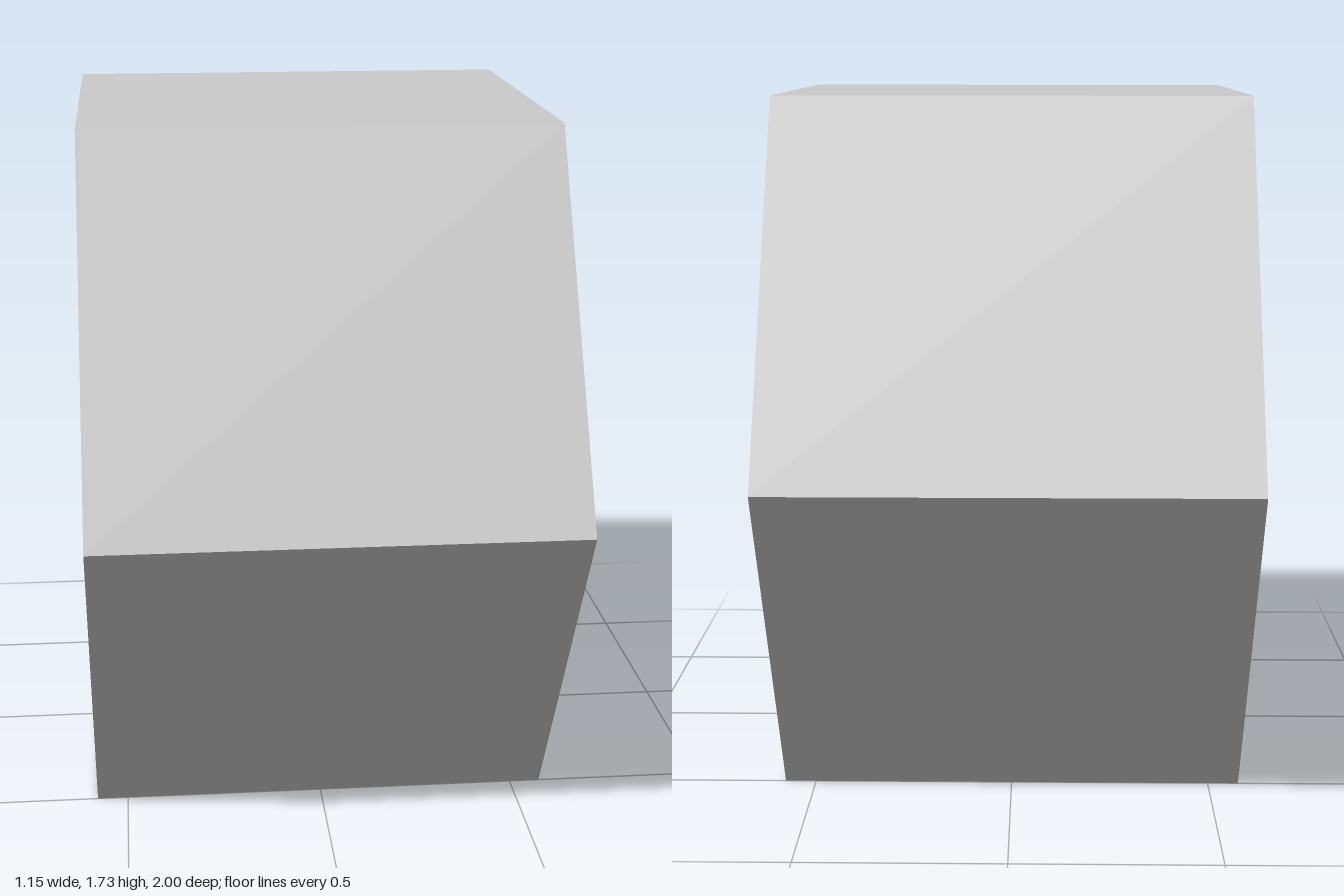
import * as THREE from 'three';
import { toCreasedNormals } from 'three/addons/utils/BufferGeometryUtils.js';

const RADIUS = 1;                      // centre to hexagon corner
const BORE = 0.58;                     // hole radius
const WIDTH = 1.155;                   // thickness along x
const APOTHEM = RADIUS * Math.sqrt(3) / 2;

export function createModel() {
  const group = new THREE.Group();
  group.name = 'hexNut';

  // Hexagonal outline with corners pointing to the front and back
  const corners = Array.from({ length: 6 }, (_, i) => {
    const a = i * Math.PI / 3;
    return new THREE.Vector2(RADIUS * Math.cos(a), RADIUS * Math.sin(a));
  });
  const outline = new THREE.Shape(corners);

  // Round through-hole
  outline.holes.push(new THREE.Path().absarc(0, 0, BORE, 0, Math.PI * 2, true));

  // Extrude the section, then lay its axis along x
  const solid = new THREE.ExtrudeGeometry(outline, {
    depth: WIDTH, bevelEnabled: false, curveSegments: 48,
  });
  solid.translate(0, 0, -WIDTH / 2);
  solid.rotateY(Math.PI / 2);
  solid.translate(0, APOTHEM, 0);

  // Smooth bore, sharp hexagon edges
  const nut = new THREE.Mesh(
    toCreasedNormals(solid, Math.PI / 6),
    new THREE.MeshStandardMaterial({ color: 0xcccccc }),
  );
  nut.name = 'nutBody';
  group.add(nut);
  return group;
}
